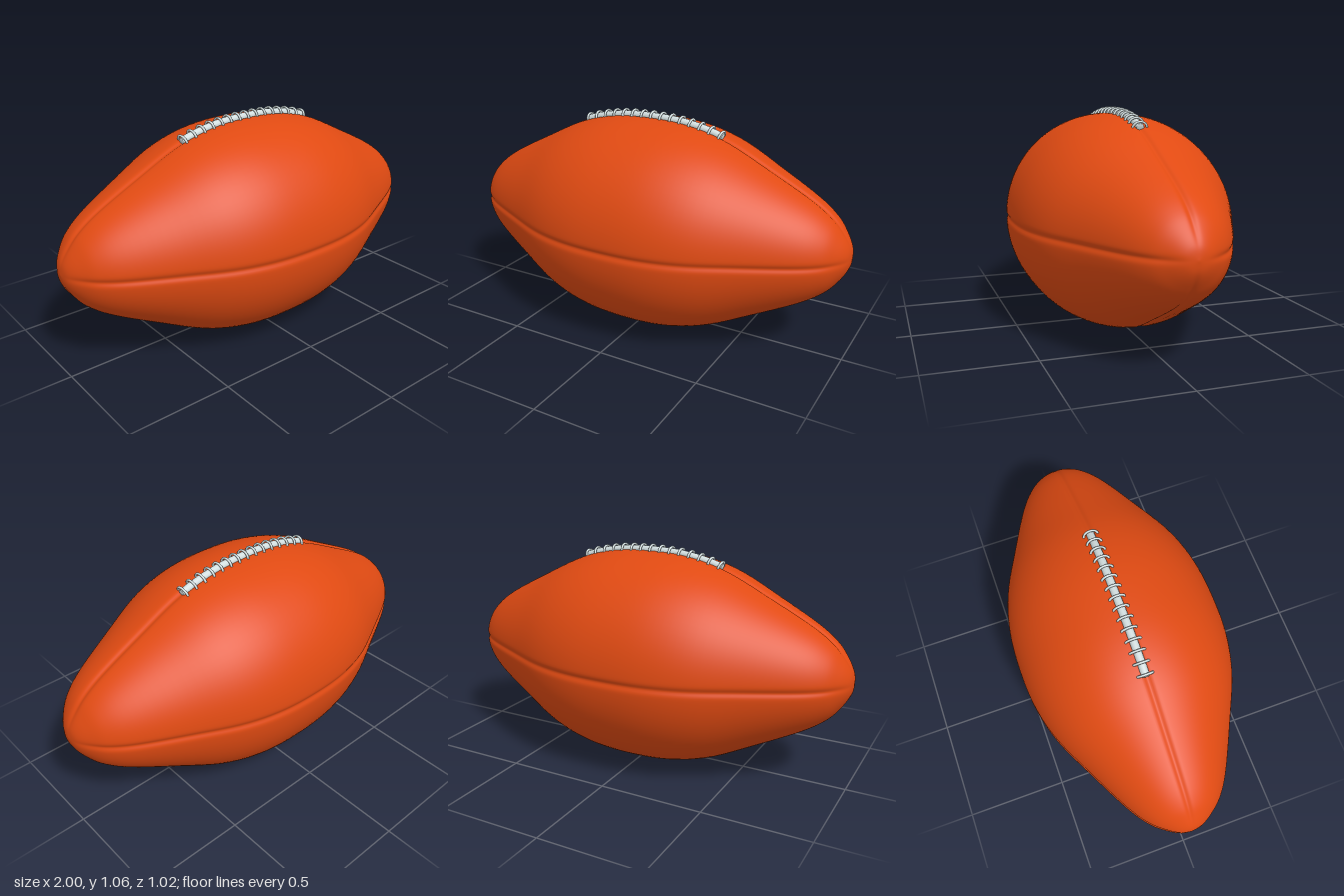
import * as THREE from 'three';
import { mergeVertices } from 'three/addons/utils/BufferGeometryUtils.js';

const CENTRE_Y = 0.513;

// Half profile as (radius, distance along the ball), mirrored to both tips
const half = [[0.513, 0], [0.5, 0.2], [0.45, 0.39], [0.35, 0.6], [0.247, 0.8], [0.178, 0.9], [0.115, 0.955], [0.055, 0.99]];
const profile = new THREE.SplineCurve([
  new THREE.Vector2(0, -1),
  ...half.slice(1).reverse().map(([r, x]) => new THREE.Vector2(r, -x)),
  ...half.map(([r, x]) => new THREE.Vector2(r, x)),
  new THREE.Vector2(0, 1),
]).getPoints(84);

function radiusAt(x) {
  const i = Math.max(1, profile.findIndex((p) => p.y >= x));
  const a = profile[i - 1], b = profile[i];
  return THREE.MathUtils.lerp(a.x, b.x, (x - a.y) / (b.y - a.y));
}

// Revolved body with four stitched seams pressed in as soft grooves
function bodyGeometry() {
  const lathe = new THREE.LatheGeometry(profile, 160);
  const pos = lathe.attributes.position;
  for (let i = 0; i < pos.count; i++) {
    const r = Math.hypot(pos.getX(i), pos.getZ(i));
    let phi = Math.atan2(pos.getX(i), pos.getZ(i));
    phi -= 0.17 * Math.sin(4 * phi); // gather columns near the seams
    const s = Math.sin(phi), c = Math.cos(phi);
    const d = r * Math.min(Math.abs(s), Math.abs(c));
    const depth = 0.01 * Math.min(1, r / 0.15) * Math.exp(-((d / 0.015) ** 2));
    pos.setXYZ(i, (r - depth) * s, pos.getY(i), (r - depth) * c);
  }
  lathe.deleteAttribute('uv');
  lathe.deleteAttribute('normal');
  const geo = mergeVertices(lathe, 1e-5);
  geo.rotateZ(-Math.PI / 2);
  geo.computeVertexNormals();
  return geo;
}

export function createModel() {
  const model = new THREE.Group();
  model.name = 'ball';
  const leather = new THREE.MeshStandardMaterial({ color: 0xe04a12 });
  const lace = new THREE.MeshStandardMaterial({ color: 0xd3dfe0 });

  const body = new THREE.Mesh(bodyGeometry(), leather);
  body.name = 'body';
  body.position.y = CENTRE_Y;
  model.add(body);

  const lacing = new THREE.Group();
  lacing.name = 'lacing';
  lacing.position.set(0, CENTRE_Y, -0.004);
  model.add(lacing);

  // Long cord following the top seam, closed with rounded ends
  const path = new THREE.CatmullRomCurve3(
    Array.from({ length: 13 }, (_, i) => {
      const x = -0.36 + i * 0.06;
      return new THREE.Vector3(x, radiusAt(x), 0);
    }),
  );
  const cord = new THREE.Mesh(new THREE.TubeGeometry(path, 48, 0.019, 12), lace);
  cord.name = 'laceCord';
  lacing.add(cord);
  for (const side of [-1, 1]) {
    const end = new THREE.Mesh(new THREE.SphereGeometry(0.019, 12, 8), lace);
    end.name = 'laceCordEnd';
    end.scale.x = 0.3;
    end.position.set(side * 0.36, radiusAt(0.36), 0);
    end.rotation.z = -side * 0.4;
    lacing.add(end);
  }

  // Cross stitches arching over the cord
  const arch = new THREE.TorusGeometry(0.034, 0.006, 8, 18, Math.PI);
  arch.rotateY(Math.PI / 2);
  arch.scale(1, 0.88, 1);
  const count = 15;
  for (let i = 0; i < count; i++) {
    const x = -0.353 + (0.706 * i) / (count - 1);
    const stitch = new THREE.Mesh(arch, lace);
    stitch.name = 'crossStitch';
    stitch.position.set(x, radiusAt(x) - 0.005, 0);
    stitch.rotation.z = Math.atan((radiusAt(x + 0.03) - radiusAt(x - 0.03)) / 0.06);
    lacing.add(stitch);
  }

  return model;
}
